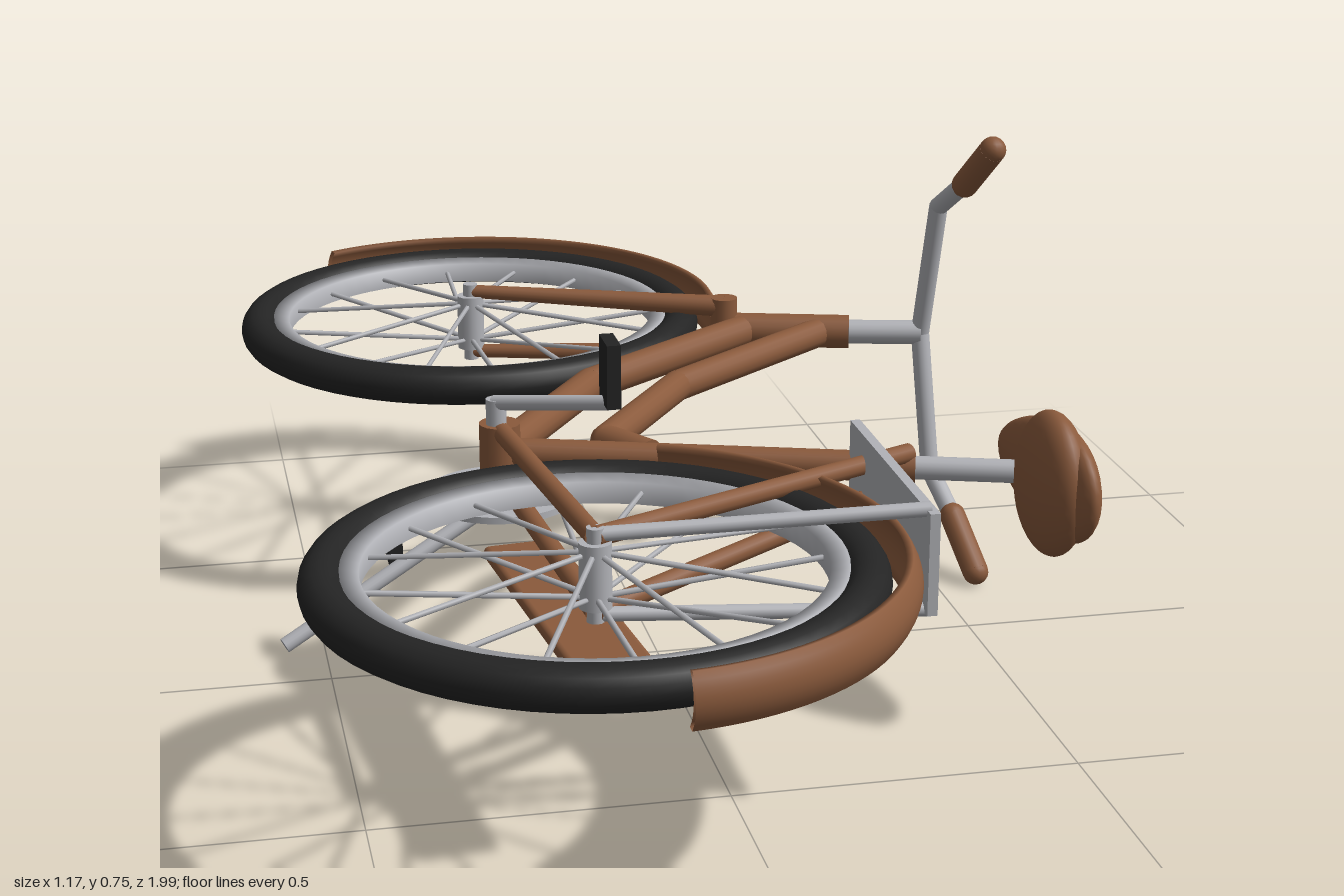
import * as THREE from 'three';
import { RoundedBoxGeometry } from 'three/addons/geometries/RoundedBoxGeometry.js';

const V = (x, y, z) => new THREE.Vector3(x, y, z);

// A bicycle lying on its side: its own "up" is +x, its nose points to -z, its middle plane is y = MID
const MID = 0.375;

export function createModel() {
  const mat = (name, color, side = THREE.FrontSide) => {
    const m = new THREE.MeshStandardMaterial({ color, side });
    m.name = name;
    return m;
  };
  const brown = mat('brownPaint', 0x8a5a3c, THREE.DoubleSide);
  const black = mat('blackRubber', 0x242424);
  const grey = mat('greyMetal', 0xb2b3b8);

  const model = new THREE.Group();
  model.name = 'bicycle';

  const add = (name, geometry, material, pos = V(0, 0, 0), parent = model) => {
    const mesh = new THREE.Mesh(geometry, material);
    mesh.name = name;
    mesh.position.copy(pos);
    parent.add(mesh);
    return mesh;
  };

  // Round bar between two points
  const bar = (name, a, b, r, material, r2 = r, parent = model, sides = 16) => {
    const d = b.clone().sub(a);
    const m = add(name, new THREE.CylinderGeometry(r2, r, d.length(), sides), material,
      a.clone().add(b).multiplyScalar(0.5), parent);
    m.quaternion.setFromUnitVectors(V(0, 1, 0), d.normalize());
    return m;
  };

  // Bent tube: straight bars with a ball in every bend
  const bentTube = (name, pts, r, material) => {
    const g = new THREE.Group();
    g.name = name;
    model.add(g);
    for (let i = 1; i < pts.length; i++) {
      bar(name + 'Section', pts[i - 1], pts[i], r, material, r, g);
      if (i < pts.length - 1) add(name + 'Bend', new THREE.SphereGeometry(r, 16, 10), material, pts[i], g);
    }
  };

  // Wheels
  const frontHub = V(-0.2, MID, -0.58), rearHub = V(-0.2, MID, 0.576);
  const wheel = (name, center) => {
    const g = new THREE.Group();
    g.name = name;
    g.position.copy(center);
    model.add(g);
    add('tyre', new THREE.TorusGeometry(0.351, 0.03, 16, 64), black, undefined, g).rotation.x = Math.PI / 2;
    const rim = [[0.302, -0.016], [0.327, -0.021], [0.327, 0.021], [0.302, 0.016], [0.302, -0.016]];
    add('rim', new THREE.LatheGeometry(rim.map(p => new THREE.Vector2(...p)), 64), grey, undefined, g);
    add('hub', new THREE.CylinderGeometry(0.022, 0.022, 0.09, 16), grey, undefined, g);
    add('axle', new THREE.CylinderGeometry(0.012, 0.012, 0.13, 12), grey, undefined, g);
    for (let i = 0; i < 16; i++) {
      const a = i * Math.PI / 8, s = i % 2 ? 1 : -1;
      bar('spoke', V(0.015 * Math.cos(a), 0.03 * s, 0.015 * Math.sin(a)),
        V(0.308 * Math.cos(a), 0, 0.308 * Math.sin(a)), 0.004, grey, 0.004, g, 6);
    }
  };
  wheel('frontWheel', frontHub);
  wheel('rearWheel', rearHub);

  // Mudguards: a curved strip revolved around the wheel axis
  const mudguard = (name, center, fromDeg, toDeg) => {
    const outer = [], inner = [];
    for (let i = 0; i <= 8; i++) {
      const t = i / 4 - 1;
      outer.push(new THREE.Vector2(0.42 - 0.014 * t * t, 0.038 * t));
      inner.unshift(new THREE.Vector2(0.411 - 0.014 * t * t, 0.036 * t));
    }
    const rad = Math.PI / 180;
    add(name, new THREE.LatheGeometry([...outer, ...inner, outer[0]], 48, fromDeg * rad, (toDeg - fromDeg) * rad),
      brown, center);
  };
  mudguard('frontMudguard', frontHub, 71, 209.5);
  mudguard('rearMudguard', rearHub, 5.5, 157);

  // Frame
  const bracket = V(-0.25, MID, 0.085), seatTop = V(0.32, MID, 0.27);
  const headLow = V(0.2, MID, -0.45), headTop = V(0.405, MID, -0.392);
  bar('headTube', headLow, headTop, 0.028, brown);
  bar('seatTube', bracket, seatTop, 0.022, brown);
  bar('bottomBracket', V(-0.25, MID - 0.045, 0.085), V(-0.25, MID + 0.045, 0.085), 0.03, brown);
  bentTube('downTube', [V(0.23, MID, -0.43), V(-0.066, MID, -0.2), bracket], 0.026, brown);
  bentTube('stepThroughTube', [V(0.36, MID, -0.403), V(0.066, MID, -0.167), V(-0.09, MID, 0.066), V(-0.04, MID, 0.145)],
    0.024, brown);
  for (const s of [1, -1]) {
    bar('forkBlade', V(-0.2, MID + 0.052 * s, -0.58), V(0.205, MID + 0.04 * s, -0.447), 0.011, brown, 0.018);
    bar('chainStay', V(-0.25, MID + 0.035 * s, 0.09), V(-0.2, MID + 0.052 * s, 0.576), 0.014, brown);
    bar('seatStay', V(0.31, MID + 0.022 * s, 0.267), V(-0.2, MID + 0.052 * s, 0.576), 0.014, brown);
  }
  bar('forkCrown', V(0.205, MID - 0.055, -0.447), V(0.205, MID + 0.055, -0.447), 0.022, brown);

  // Stem, handlebar and grips
  const stemTop = V(0.52, MID, -0.365);
  bar('stem', headTop, stemTop, 0.02, grey);
  const half = s => [V(0.53, MID + 0.225 * s, -0.32), V(0.548, MID + 0.285 * s, -0.235)];
  const [l, r] = [half(1), half(-1)];
  bentTube('handlebar', [l[1], l[0], stemTop, r[0], r[1]], 0.015, grey);
  for (const s of [1, -1]) {
    const a = V(0.547, MID + 0.28 * s, -0.24), b = V(0.565, MID + 0.352 * s, -0.165);
    bar('grip', a, b, 0.021, brown);
    for (const p of [a, b]) add('gripEnd', new THREE.SphereGeometry(0.021, 16, 10), brown, p);
  }

  // Saddle: wide rear cushion and a long nose
  bar('seatPost', seatTop, V(0.48, MID, 0.322), 0.017, grey);
  const saddle = new THREE.Group();
  saddle.name = 'saddle';
  saddle.position.set(0.495, MID, 0.325);
  saddle.rotation.y = 0.1;
  model.add(saddle);
  const cushion = add('saddleCushion', new THREE.SphereGeometry(1, 32, 20), brown, V(-0.012, 0, 0.045), saddle);
  cushion.scale.set(0.043, 0.106, 0.085);
  const nose = new THREE.SphereGeometry(1, 32, 20);
  const p = nose.attributes.position;
  for (let i = 0; i < p.count; i++) p.setY(i, p.getY(i) * (1 + 0.3 * p.getZ(i)));
  nose.computeVertexNormals();
  add('saddleNose', nose, brown, V(0.005, 0, 0), saddle).scale.set(0.037, 0.08, 0.153);

  // Luggage rack
  add('rackPlate', new THREE.BoxGeometry(0.014, 0.142, 0.385), grey, V(0.235, MID, 0.442));
  for (const s of [1, -1]) {
    bar('rackStrut', V(-0.2, MID + 0.055 * s, 0.576), V(0.235, MID + 0.07 * s, 0.612), 0.01, grey);
  }

  // Drive side: chainring, chain guard and kickstand
  add('chainring', new THREE.CylinderGeometry(0.11, 0.11, 0.01, 40), grey, V(-0.25, 0.31, 0.085));
  bar('crankAxle', V(-0.255, 0.29, 0.088), V(-0.255, 0.458, 0.088), 0.015, grey);
  add('chainGuard', new RoundedBoxGeometry(0.11, 0.02, 0.49, 3, 0.009), brown, V(-0.217, 0.283, 0.475))
    .rotation.y = 0.115;
  bar('kickstand', V(-0.24, 0.335, 0.135), V(-0.58, 0.159, 0.225), 0.011, grey);

  // Cranks and pedals
  const crank = (name, a, b, s) => {
    bar(name + 'Crank', a, b, 0.011, grey);
    add(name + 'Pedal', new THREE.BoxGeometry(0.02, 0.093, 0.06), black, V(b.x, b.y + 0.046 * s, b.z));
  };
  crank('left', V(-0.258, 0.452, 0.088), V(-0.112, 0.484, 0.217), 1);
  crank('right', V(-0.258, 0.296, 0.088), V(-0.397, 0.267, -0.027), -1);

  return model;
}
